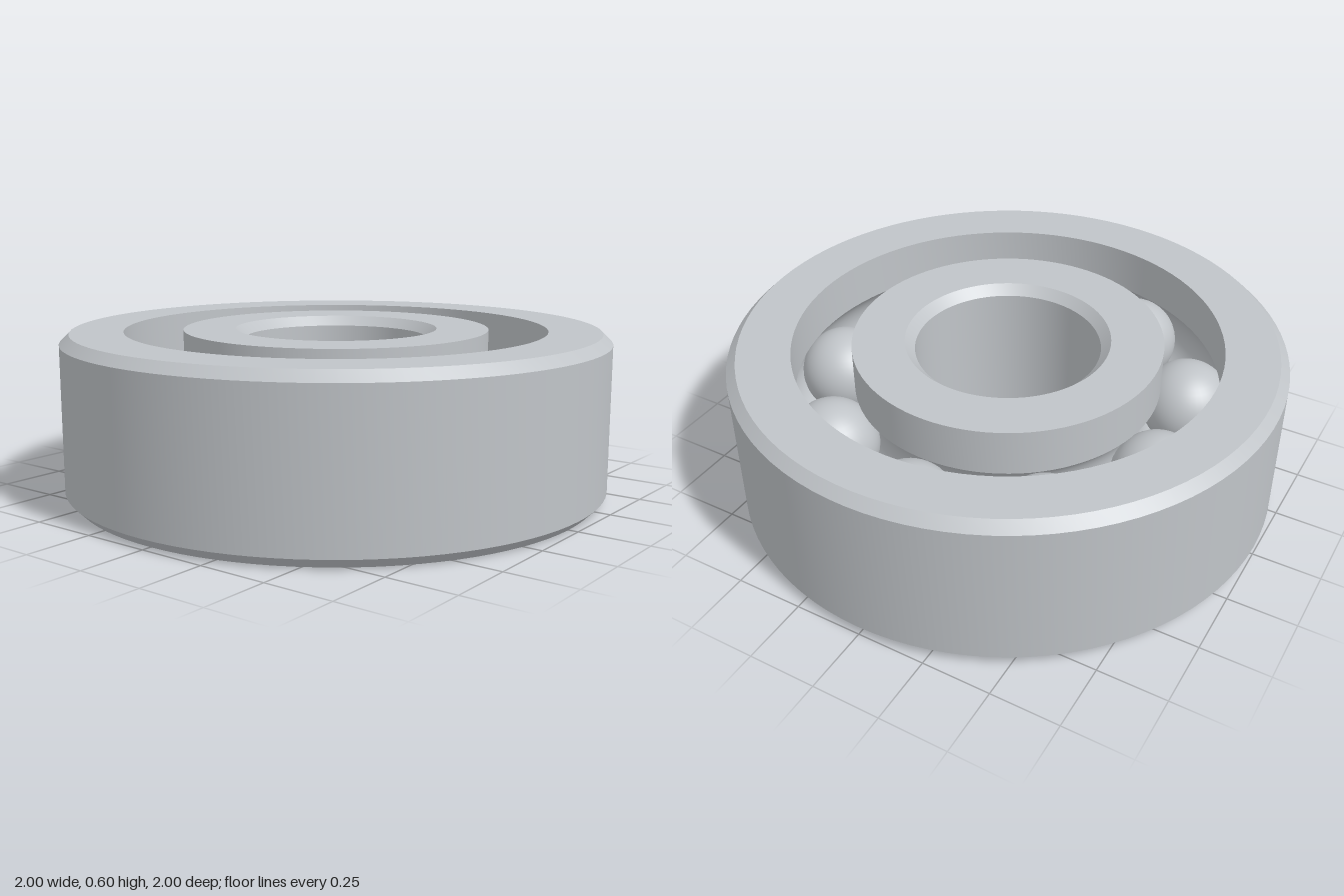
import * as THREE from 'three';
import { toCreasedNormals } from 'three/addons/utils/BufferGeometryUtils.js';

const HEIGHT = 0.6, MID = HEIGHT / 2, CHAMFER = 0.035;
const PITCH = 0.666;          // radius of the circle of ball centres
const BALL = 0.166, GROOVE = 0.168;
const HALF_GAP = 0.107;       // half the space between the rings
const SEGMENTS = 96, BALLS = 9;

// Points of the raceway groove between two angles, in (radius, height)
function groove(from, to, steps = 16) {
  return Array.from({ length: steps + 1 }, (_, i) => {
    const a = from + (to - from) * i / steps;
    return [PITCH + GROOVE * Math.cos(a), MID + GROOVE * Math.sin(a)];
  });
}

// Revolve a closed counter-clockwise profile, keeping its edges sharp
function ring(name, profile, material) {
  const points = [...profile, profile[0]].map(([r, y]) => new THREE.Vector2(r, y));
  const geometry = toCreasedNormals(new THREE.LatheGeometry(points, SEGMENTS), 0.45);
  const mesh = new THREE.Mesh(geometry, material);
  mesh.name = name;
  return mesh;
}

export function createModel() {
  const model = new THREE.Group();
  model.name = 'ballBearing';
  const steel = new THREE.MeshStandardMaterial({ color: 0xc0c4c8 });
  steel.name = 'steel';

  const open = Math.acos(HALF_GAP / GROOVE);
  const outerWall = PITCH + HALF_GAP, innerWall = PITCH - HALF_GAP, bore = 0.335;

  // Outer race: chamfered outside, grooved inside
  model.add(ring('outerRace', [
    [outerWall, 0], [1 - CHAMFER, 0], [1, CHAMFER],
    [1, HEIGHT - CHAMFER], [1 - CHAMFER, HEIGHT], [outerWall, HEIGHT],
    ...groove(open, -open),
  ], steel));

  // Inner race: grooved outside, chamfered bore
  model.add(ring('innerRace', [
    [bore + CHAMFER, 0], [innerWall, 0],
    ...groove(Math.PI + open, Math.PI - open),
    [innerWall, HEIGHT], [bore + CHAMFER, HEIGHT],
    [bore, HEIGHT - CHAMFER], [bore, CHAMFER],
  ], steel));

  // Balls evenly spaced around the raceway
  const balls = new THREE.Group();
  balls.name = 'balls';
  const ballGeometry = new THREE.SphereGeometry(BALL, 40, 24);
  for (let i = 0; i < BALLS; i++) {
    const a = i / BALLS * Math.PI * 2;
    const ball = new THREE.Mesh(ballGeometry, steel);
    ball.name = `ball${i + 1}`;
    ball.position.set(PITCH * Math.cos(a), MID, PITCH * Math.sin(a));
    balls.add(ball);
  }
  model.add(balls);
  return model;
}
